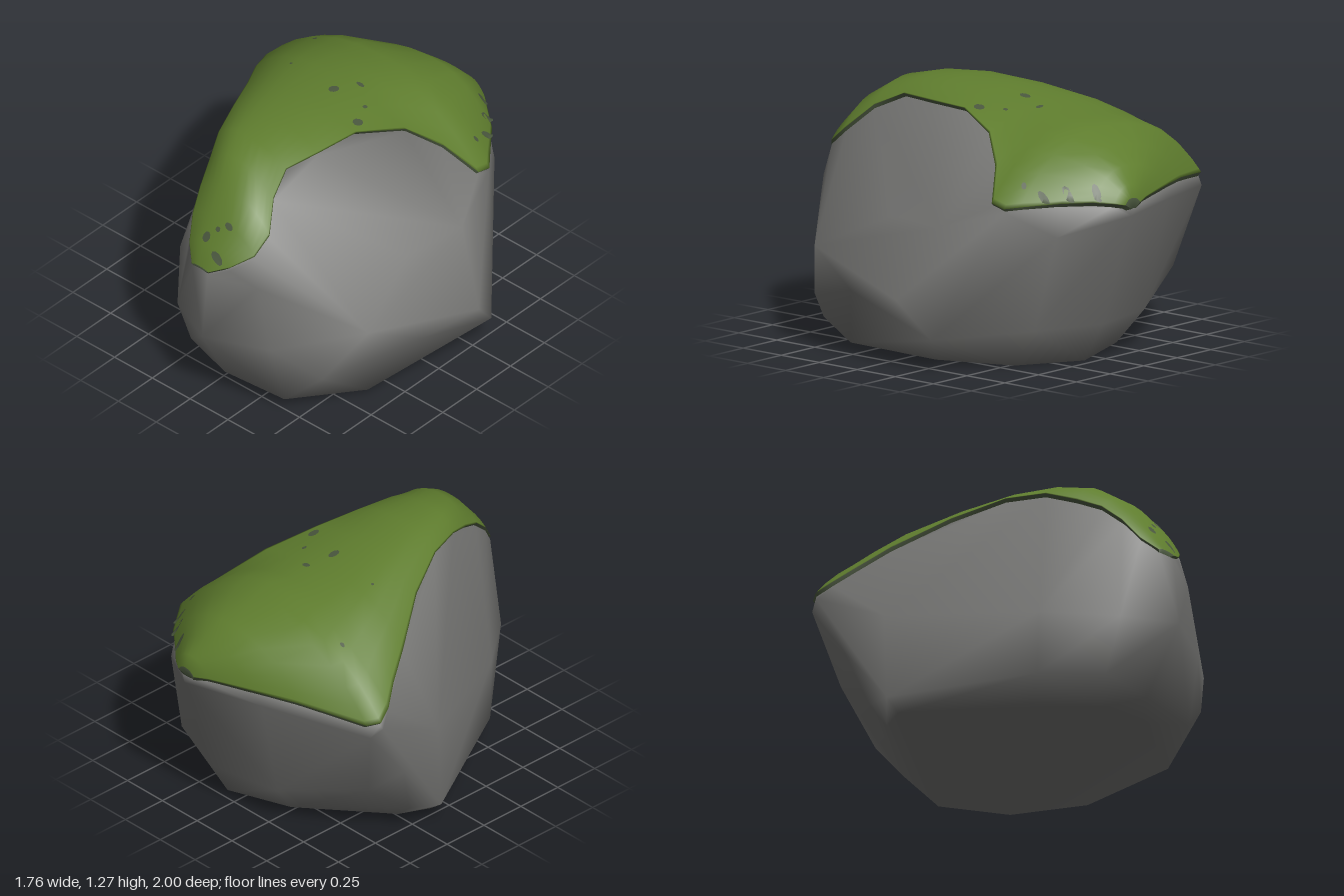
import * as THREE from 'three';
import { ConvexGeometry } from 'three/addons/geometries/ConvexGeometry.js';
import { mergeVertices } from 'three/addons/utils/BufferGeometryUtils.js';

const { lerp, clamp } = THREE.MathUtils;

// Moss cross-sections from front to back: z, left x, left y, right x, right y, crest y
const SECTIONS = [
  [0.96, -0.02, 0.79, 0.08, 0.79, 0.82],
  [0.90, -0.09, 0.85, 0.17, 0.83, 0.92],
  [0.82, -0.14, 0.96, 0.26, 0.90, 1.035],
  [0.72, -0.18, 1.05, 0.27, 0.98, 1.15],
  [0.60, -0.23, 1.11, 0.19, 1.10, 1.235],
  [0.45, -0.30, 1.17, 0.14, 1.17, 1.265],
  [0.25, -0.38, 1.18, 0.17, 1.17, 1.275],
  [0.00, -0.51, 1.11, 0.20, 1.17, 1.25],
  [-0.25, -0.68, 0.98, 0.30, 1.10, 1.21],
  [-0.40, -0.77, 0.89, 0.42, 0.97, 1.185],
  [-0.50, -0.84, 0.82, 0.56, 0.82, 1.17],
  [-0.58, -0.87, 0.78, 0.56, 0.80, 1.155],
  [-0.64, -0.83, 0.77, 0.51, 0.81, 1.14],
  [-0.80, -0.50, 0.82, 0.38, 0.83, 1.08],
  [-0.90, -0.27, 0.83, 0.26, 0.83, 1.00],
  [-0.97, -0.05, 0.82, 0.18, 0.82, 0.92],
  [-1.00, 0.03, 0.81, 0.13, 0.81, 0.86],
];

// Corners of the boulder below the moss line
const BODY = [
  // shoulders
  [0.68, 0.70, -0.25], [0.63, 0.70, 0.10], [0.53, 0.74, 0.50], [0.30, 0.75, 0.84],
  [0.08, 0.70, 0.97], [0.41, 0.68, -0.79], [0.09, 0.77, -1.0], [-0.33, 0.77, -0.87],
  [-0.85, 0.72, -0.63], [-0.88, 0.76, -0.57],
  // widest belt
  [0.88, 0.35, -0.15], [0.82, 0.34, 0.20], [0.74, 0.51, 0.51],
  [0.38, 0.40, 0.83], [0.08, 0.43, 1.0], [-0.20, 0.42, 0.87], [-0.46, 0.46, 0.56],
  [-0.56, 0.50, 0.33], [-0.83, 0.55, -0.15], [-0.85, 0.42, -0.40],
  // lower belt
  [0.81, 0.16, -0.32], [0.57, 0.22, 0.66], [0.40, 0.06, 0.75],
  [0.05, 0.08, 0.80], [-0.20, 0.14, 0.77], [-0.46, 0.13, 0.55], [-0.83, 0.10, -0.13],
  [-0.78, 0.13, -0.30], [-0.74, 0.32, -0.54], [0.10, 0.20, -0.82], [0.45, 0.20, -0.68],
  [-0.30, 0.20, -0.74],
  // foot
  [0.64, 0.02, -0.20], [0.62, 0.02, 0.38], [0.15, 0.015, 0.68], [-0.12, 0.02, 0.66],
  [-0.38, 0.03, 0.42], [-0.75, 0.04, -0.13], [-0.68, 0.04, -0.28], [-0.25, 0.02, -0.60],
  [0.10, 0.0, -0.70], [0.42, 0.0, -0.52],
];

// Domed moss height across a section, u running from its left to its right rim.
// The crest wanders from left to right toward the back; the left rim is fuller.
function domeHeight([z, , ly, , ry, crest], u) {
  const peak = clamp(0.46 - 0.19 * z, 0.4, 0.58);
  const fall = u < peak ? (1 - u / peak) ** 2.7 : ((u - peak) / (1 - peak)) ** 2.2;
  const base = lerp(ly, ry, u) + 0.02;
  return base + (crest - base) * (1 - fall);
}

// Convex boulder whose upper rim follows the moss outline
function boulderGeometry() {
  const points = BODY.map((p) => new THREE.Vector3(...p));
  for (const [z, lx, ly, rx, ry] of SECTIONS) {
    const inset = z < -0.6 ? 0.98 : 1;
    points.push(new THREE.Vector3(lx, ly, z * inset), new THREE.Vector3(rx, ry, z * inset));
  }
  const hull = new ConvexGeometry(points);
  hull.deleteAttribute('normal');
  const smooth = mergeVertices(hull, 1e-4);
  smooth.computeVertexNormals();
  return smooth;
}

// Blanket lofted through the sections; group 0 is the moss, group 1 its tucked rim
function mossGeometry() {
  const steps = 14;
  const row = steps + 3;
  const positions = [];
  const top = [];
  const rim = [];
  for (const section of SECTIONS) {
    const [z, lx, ly, rx, ry] = section;
    const tuck = Math.min(0.035, (rx - lx) * 0.2);
    positions.push(lx + tuck, ly - 0.02, z * 0.98);
    for (let j = 0; j <= steps; j++) {
      // points gather toward the edges so the rim stays round
      const u = 0.5 - 0.5 * Math.cos((Math.PI * j) / steps);
      positions.push(lerp(lx - 0.005, rx + 0.005, u), domeHeight(section, u), z);
    }
    positions.push(rx - tuck, ry - 0.02, z * 0.98);
  }
  for (let i = 0; i < SECTIONS.length - 1; i++) {
    for (let j = 0; j < row - 1; j++) {
      const a = i * row + j;
      const list = j === 0 || j === row - 2 ? rim : top;
      list.push(a, a + 1, a + row, a + 1, a + row + 1, a + row);
    }
  }
  // close the front and back tips
  const last = (SECTIONS.length - 1) * row;
  for (let j = 1; j < row - 1; j++) {
    rim.push(0, j + 1, j, last, last + j, last + j + 1);
  }
  const geometry = new THREE.BufferGeometry();
  geometry.setAttribute('position', new THREE.Float32BufferAttribute(positions, 3));
  geometry.setIndex([...top, ...rim]);
  geometry.addGroup(0, top.length, 0);
  geometry.addGroup(top.length, rim.length, 1);
  geometry.computeVertexNormals();
  return geometry;
}

// Height of the moss surface above any point of its outline
function mossHeight(x, z) {
  const i = SECTIONS.findIndex((s, k) => k > 0 && s[0] <= z);
  const [a, b] = [SECTIONS[i - 1], SECTIONS[i]];
  const t = (a[0] - z) / (a[0] - b[0]);
  const section = a.map((v, k) => lerp(v, b[k], t));
  const u = clamp((x - section[1]) / (section[3] - section[1]), 0, 1);
  return domeHeight(section, u);
}

// Bare spots: x, z, half width, half depth
const SPOTS = [
  [-0.08, -0.15, 0.022, 0.032], [-0.03, -0.29, 0.024, 0.014], [0.10, -0.18, 0.011, 0.014],
  [0.16, -0.06, 0.024, 0.03], [0.005, 0.885, 0.022, 0.016], [0.10, 0.825, 0.024, 0.01],
  [0.05, 0.85, 0.014, 0.008], [0.10, 0.915, 0.035, 0.012], [-0.545, -0.53, 0.014, 0.01],
  [-0.39, -0.18, 0.008, 0.008], [0.45, -0.61, 0.012, 0.014],
  [0.425, -0.72, 0.014, 0.04], [0.345, -0.81, 0.016, 0.04], [0.235, -0.90, 0.018, 0.03],
];

// Thin disc draped over the moss
function spotGeometry([x, z, w, d]) {
  const disc = new THREE.CircleGeometry(1, 9).rotateX(-Math.PI / 2);
  const p = disc.attributes.position;
  for (let i = 0; i < p.count; i++) {
    const px = x + p.getX(i) * w;
    const pz = z + p.getZ(i) * d;
    p.setXYZ(i, px, mossHeight(px, pz) + 0.007, pz);
  }
  disc.computeVertexNormals();
  return disc;
}

export function createModel() {
  const stone = new THREE.MeshStandardMaterial({ color: 0x737371 });
  stone.name = 'stone grey';
  const green = new THREE.MeshStandardMaterial({ color: 0x5f7d2e, side: THREE.DoubleSide });
  green.name = 'moss green';
  const soil = new THREE.MeshStandardMaterial({ color: 0x4a573e, side: THREE.DoubleSide });
  soil.name = 'damp grey green';

  const group = new THREE.Group();
  group.name = 'mossyBoulder';
  const boulder = new THREE.Mesh(boulderGeometry(), stone);
  boulder.name = 'boulder';
  const moss = new THREE.Mesh(mossGeometry(), [green, soil]);
  moss.name = 'mossCap';
  group.add(boulder, moss);
  for (const spot of SPOTS) {
    const mesh = new THREE.Mesh(spotGeometry(spot), soil);
    mesh.name = 'bareSpot';
    group.add(mesh);
  }
  return group;
}
